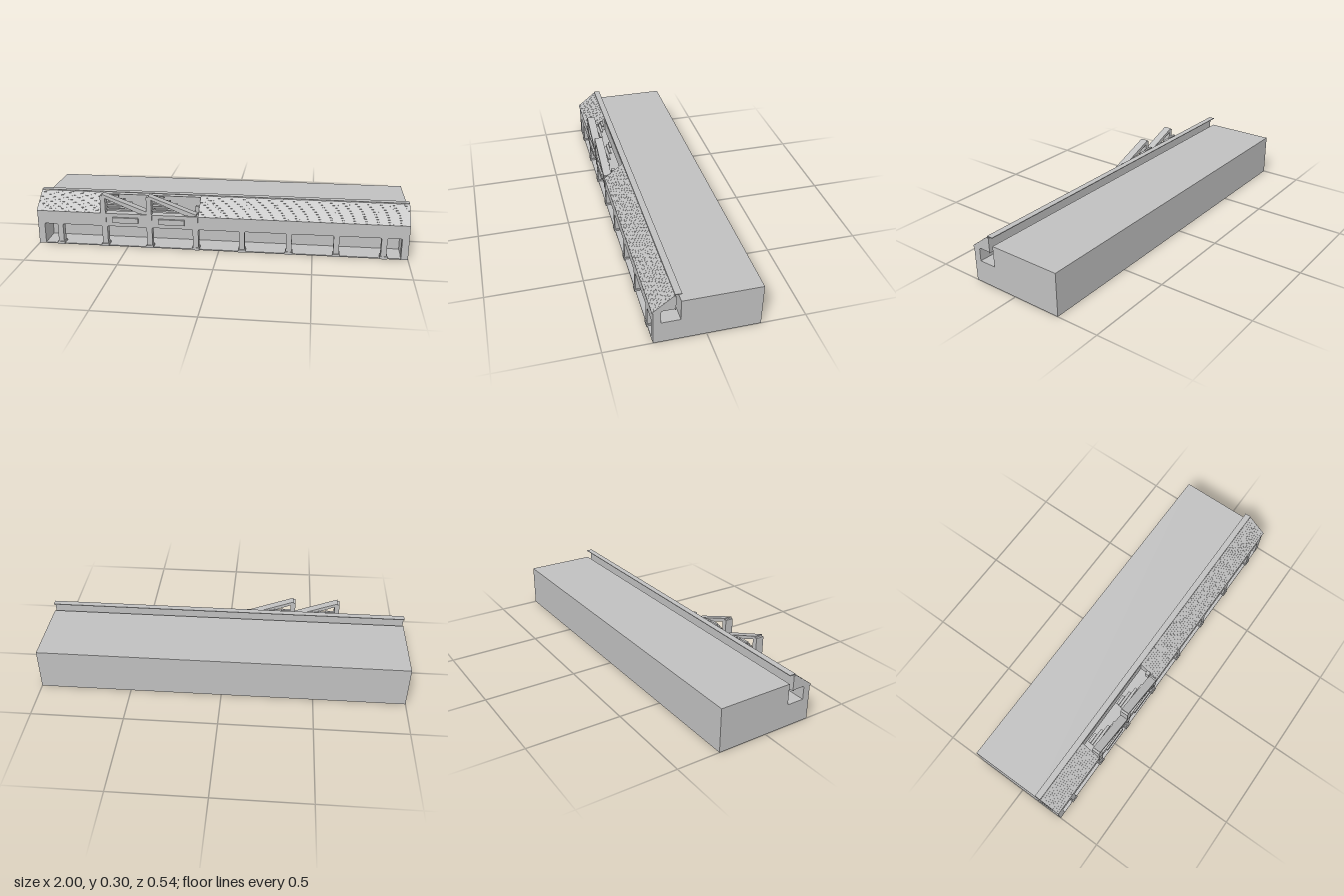
import * as THREE from 'three';
import { mergeGeometries } from 'three/addons/utils/BufferGeometryUtils.js';

export function createModel() {
  const group = new THREE.Group();
  const plaster = new THREE.MeshStandardMaterial({ color: 0xc0c0c0 });
  plaster.name = 'plain grey';

  const add = (name, geometry) => {
    const mesh = new THREE.Mesh(geometry, plaster);
    mesh.name = name;
    group.add(mesh);
    return mesh;
  };
  // Box from its minimum and maximum corners
  const boxGeo = (x0, x1, y0, y1, z0, z1) =>
    new THREE.BoxGeometry(x1 - x0, y1 - y0, z1 - z0)
      .translate((x0 + x1) / 2, (y0 + y1) / 2, (z0 + z1) / 2);
  const box = (name, ...b) => add(name, boxGeo(...b));
  const outline = (points) => new THREE.Shape(points.map(([x, y]) => new THREE.Vector2(x, y)));

  // Main hall and the porch in front of it
  box('mainHall', -1, 1, 0, 0.233, -0.27, 0.128);
  box('porchFloor', -1, 1, 0, 0.005, 0.128, 0.26);
  box('porchCeiling', -1, 1, 0.115, 0.12, 0.128, 0.222);
  for (const s of [-1, 1]) {
    box('porchEndWall', Math.min(s, s * 0.965), Math.max(s, s * 0.965), 0.005, 0.12, 0.128, 0.222);
  }

  // Arcade wall with bay openings
  const columns = [-0.875, -0.625, -0.378, -0.126, 0.124, 0.375, 0.625, 0.873];
  const wall = outline([[-1, 0.005], [1, 0.005], [1, 0.187], [-1, 0.187]]);
  const edges = [-0.978, ...columns, 0.978];
  for (let i = 0; i < edges.length - 1; i++) {
    const a = edges[i] + 0.015, b = edges[i + 1] - 0.015, top = 0.117, c = 0.007;
    const hole = new THREE.Path();
    hole.moveTo(a, 0.0055);
    hole.lineTo(a, top - c);
    hole.quadraticCurveTo(a, top, a + c, top);
    hole.lineTo(b - c, top);
    hole.quadraticCurveTo(b, top, b, top - c);
    hole.lineTo(b, 0.0055);
    hole.closePath();
    wall.holes.push(hole);
  }
  add('arcadeWall', new THREE.ExtrudeGeometry(wall, { depth: 0.038, bevelEnabled: false, curveSegments: 4 })
    .translate(0, 0, 0.222));
  for (const x of columns) {
    box('columnBase', x - 0.02, x + 0.02, 0, 0.015, 0.218, 0.265);
  }

  // Eaves board, back board and ridge cap
  box('eavesBoard', -1, 1, 0.187, 0.192, 0.22, 0.265);
  box('backBoard', -1, 1, 0.187, 0.267, 0.152, 0.158);
  box('ridgeCap', -1, 1, 0.276, 0.28, 0.125, 0.158);

  // Sloping roof on both sides of the open section, with staggered tiles
  const eaveZ = 0.265, eaveY = 0.192, run = 0.107, rise = 0.083;
  const slope = Math.atan2(rise, run), rows = 9, pitch = Math.hypot(run, rise) / rows;
  for (const [x0, x1] of [[-1, -0.64], [-0.11, 1]]) {
    // Shape x is -z, so a turn about y lays the extrusion along x
    const tri = outline([[-eaveZ, eaveY], [-eaveZ + run, eaveY], [-eaveZ + run, eaveY + rise]]);
    add('roofSlope', new THREE.ExtrudeGeometry(tri, { depth: x1 - x0, bevelEnabled: false })
      .rotateY(Math.PI / 2).translate(x0, 0, 0));
    const tiles = [];
    const count = Math.round((x1 - x0) / 0.03), step = (x1 - x0) / count;
    for (let r = 0; r < rows; r++) {
      const t = (r + 0.5) / rows;
      const stagger = r % 2;
      for (let i = 0; i < count - stagger; i++) {
        tiles.push(new THREE.BoxGeometry(step * 0.88, 0.002, pitch * 0.8)
          .rotateX(slope)
          .translate(x0 + (i + 0.5 + stagger / 2) * step, eaveY + t * rise, eaveZ - t * run));
      }
    }
    add('roofTiles', mergeGeometries(tiles));
  }

  // Two raking dormers: post, sloping beam, louvres behind and a sign plate below
  for (const x of [-0.642, -0.39]) {
    const left = x + 0.027, end = x + 0.27;
    const frame = outline([
      [x, 0.19], [left, 0.19], [left, 0.277], [end - 0.055, 0.196], [end, 0.196],
      [end, 0.203], [x + 0.012, 0.3], [x + 0.012, 0.292], [x, 0.292],
    ]);
    add('dormerFrame', new THREE.ExtrudeGeometry(frame, { depth: 0.045, bevelEnabled: false })
      .translate(0, 0, 0.222));
    for (let k = 0; k < 5; k++) {
      const y = 0.204 + k * 0.0145, z = 0.235 - k * 0.0125;
      const length = 0.215 - k * 0.04;
      box('louvre', left, left + length, y, y + 0.009, z - 0.007, z + 0.007);
    }
    box('signPlate', x + 0.065, x + 0.205, 0.14, 0.17, 0.26, 0.271);
  }
  box('openingEndPost', -0.13, -0.11, 0.192, 0.237, 0.2, 0.222);

  // Pilasters on the wall under the dormers
  for (const x of [-0.628, -0.376, -0.126]) {
    box('pilaster', x - 0.014, x + 0.014, 0.118, 0.19, 0.26, 0.265);
  }
  return group;
}
